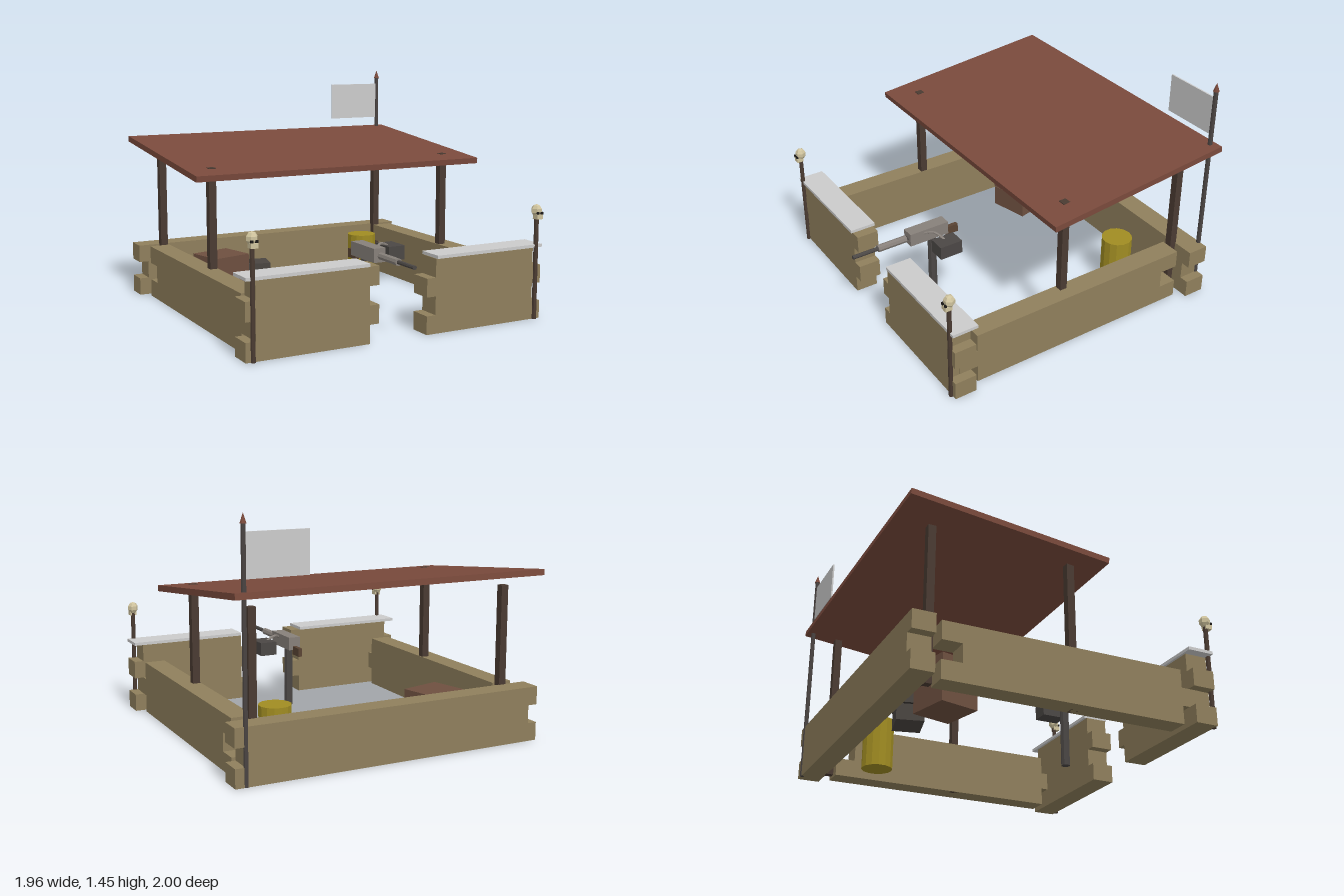
import * as THREE from 'three';

const paint = (color) => new THREE.MeshStandardMaterial({ color, flatShading: true });
const M = {
  bag: paint(0x8f7f5c), roof: paint(0x7a4a3c), wood: paint(0x4a3b32), metal: paint(0xcccccc),
  pole: paint(0x4a4442), gun: paint(0x87807a), dark: paint(0x4b4745), grip: paint(0x5a4434),
  bone: paint(0xd0c49e), eye: paint(0x1c1a18), barrel: paint(0xa08c22),
  crate: paint(0x6e5040), chest: paint(0x4a4541),
};

export function createModel() {
  const root = new THREE.Group();

  const add = (parent, name, geo, mat, x = 0, y = 0, z = 0) => {
    const m = new THREE.Mesh(geo, mat);
    m.name = name;
    m.position.set(x, y, z);
    parent.add(m);
    return m;
  };
  // box given by its limits on each axis
  const span = (parent, name, mat, [x0, x1], [y0, y1], [z0, z1]) =>
    add(parent, name, new THREE.BoxGeometry(x1 - x0, y1 - y0, z1 - z0), mat,
      (x0 + x1) / 2, (y0 + y1) / 2, (z0 + z1) / 2);
  const rod = (parent, name, mat, r, y0, y1, x, z, sides = 8) =>
    add(parent, name, new THREE.CylinderGeometry(r, r, y1 - y0, sides), mat, x, (y0 + y1) / 2, z);
  const group = (name) => {
    const g = new THREE.Group();
    g.name = name;
    root.add(g);
    return g;
  };

  // Interlocking walls, laid course by course
  const H = 0.111;
  const course = (i) => [i * H, (i + 1) * H];
  const walls = group('walls');
  for (let i = 0; i < 4; i++) {
    const odd = i % 2 === 1;
    const zf = [0.745, 0.885];
    span(walls, 'frontWallRight', M.bag, odd ? [-0.92, -0.16] : [-0.98, -0.22], course(i), zf);
    span(walls, 'frontWallLeft', M.bag, odd ? [0.22, 0.92] : [0.16, 0.98], course(i), zf);
    if (i === 3) continue;
    span(walls, 'backWall', M.bag, odd ? [-0.92, 0.92] : [-0.98, 0.98], course(i), [-0.97, -0.835]);
    for (const s of [-1, 1]) {
      const x = [s * 0.79, s * 0.922].sort((a, b) => a - b);
      span(walls, 'sideWall', M.bag, x, course(i), odd ? [-0.66, 0.82] : [-0.78, 0.7]);
    }
  }

  // Metal caps on the front walls
  span(root, 'wallCapRight', M.metal, [-0.98, -0.225], [0.444, 0.463], [0.73, 0.895]);
  span(root, 'wallCapLeft', M.metal, [0.225, 0.98], [0.444, 0.463], [0.73, 0.895]);

  // Sloping roof on four posts
  const roof = add(root, 'roof', new THREE.BoxGeometry(1.96, 0.036, 1.226), M.roof, 0, 0.965, -0.39);
  roof.rotation.x = 0.105;
  for (const x of [-0.818, 0.818])
    for (const z of [0.042, -0.818])
      span(root, 'roofPost', M.wood, [x - 0.023, x + 0.023], [0, 0.94], [z - 0.023, z + 0.023]);

  // Flag on a spiked pole
  const flag = group('flag');
  rod(flag, 'flagPole', M.pole, 0.014, 0, 1.4, 0.915, -0.963);
  add(flag, 'poleTip', new THREE.ConeGeometry(0.019, 0.055, 8), M.roof, 0.915, 1.425, -0.963);
  span(flag, 'flagSheet', M.metal, [0.54, 0.91], [1.11, 1.355], [-0.968, -0.958]);

  // Skulls on stakes at the front corners
  for (const s of [-1, 1]) {
    const g = group('skullStake');
    g.position.set(s * 0.938, 0, 0.89);
    rod(g, 'stake', M.wood, 0.014, 0, 0.64, 0, 0);
    const skull = add(g, 'cranium', new THREE.SphereGeometry(0.035, 6, 5), M.bone, 0, 0.67, -0.002);
    skull.scale.y = 1.1;
    span(g, 'jaw', M.bone, [-0.021, 0.021], [0.62, 0.648], [-0.01, 0.033]);
    for (const e of [-1, 1])
      add(g, 'eyeSocket', new THREE.BoxGeometry(0.015, 0.014, 0.01), M.eye, e * 0.014, 0.657, 0.03);
  }

  // Mounted gun pointing forward
  const gun = group('mountedGun');
  const along = (name, mat, r, z0, z1) => {
    const m = add(gun, name, new THREE.CylinderGeometry(r, r, z1 - z0, 8), mat, 0, 0.436, (z0 + z1) / 2);
    m.rotation.x = Math.PI / 2;
  };
  rod(gun, 'gunStand', M.dark, 0.028, 0, 0.4, 0, 0.45);
  span(gun, 'receiver', M.gun, [-0.04, 0.04], [0.395, 0.48], [0.352, 0.622]);
  along('barrelJacket', M.gun, 0.023, 0.635, 0.83);
  along('gunBarrel', M.dark, 0.013, 0.61, 1.0);
  span(gun, 'grip', M.grip, [-0.013, 0.013], [0.365, 0.42], [0.265, 0.355]);
  span(gun, 'ammoBox', M.dark, [0.125, 0.235], [0.372, 0.458], [0.37, 0.522]);
  const beltPath = new THREE.CatmullRomCurve3([
    [0.035, 0.455, 0.525], [0.08, 0.474, 0.485], [0.12, 0.468, 0.465], [0.16, 0.45, 0.45],
  ].map((p) => new THREE.Vector3(...p)));
  add(gun, 'ammoBelt', new THREE.TubeGeometry(beltPath, 10, 0.009, 6), M.gun);

  // Supplies: drum and two lidded crates
  rod(root, 'drum', M.barrel, 0.097, 0, 0.32, 0.572, -0.583, 14);
  const crate = (name, mat, w, d, h, lidH, x, z, yaw) => {
    const g = group(name);
    g.position.set(x, 0, z);
    g.rotation.y = yaw;
    const bodyH = h - lidH - 0.008;
    const box = (n, m, k, y0, y1) =>
      span(g, n, m, [-w * k / 2, w * k / 2], [y0, y1], [-d * k / 2, d * k / 2]);
    box('crateBody', mat, 0.97, 0, bodyH);
    box('crateSeam', M.eye, 0.93, bodyH, h - lidH);
    box('crateLid', mat, 1, h - lidH, h);
  };
  crate('brownCrate', M.crate, 0.27, 0.25, 0.28, 0.13, -0.505, -0.578, 0.25);
  crate('darkCrate', M.chest, 0.2, 0.165, 0.18, 0.075, -0.22, -0.683, -0.24);

  return root;
}
